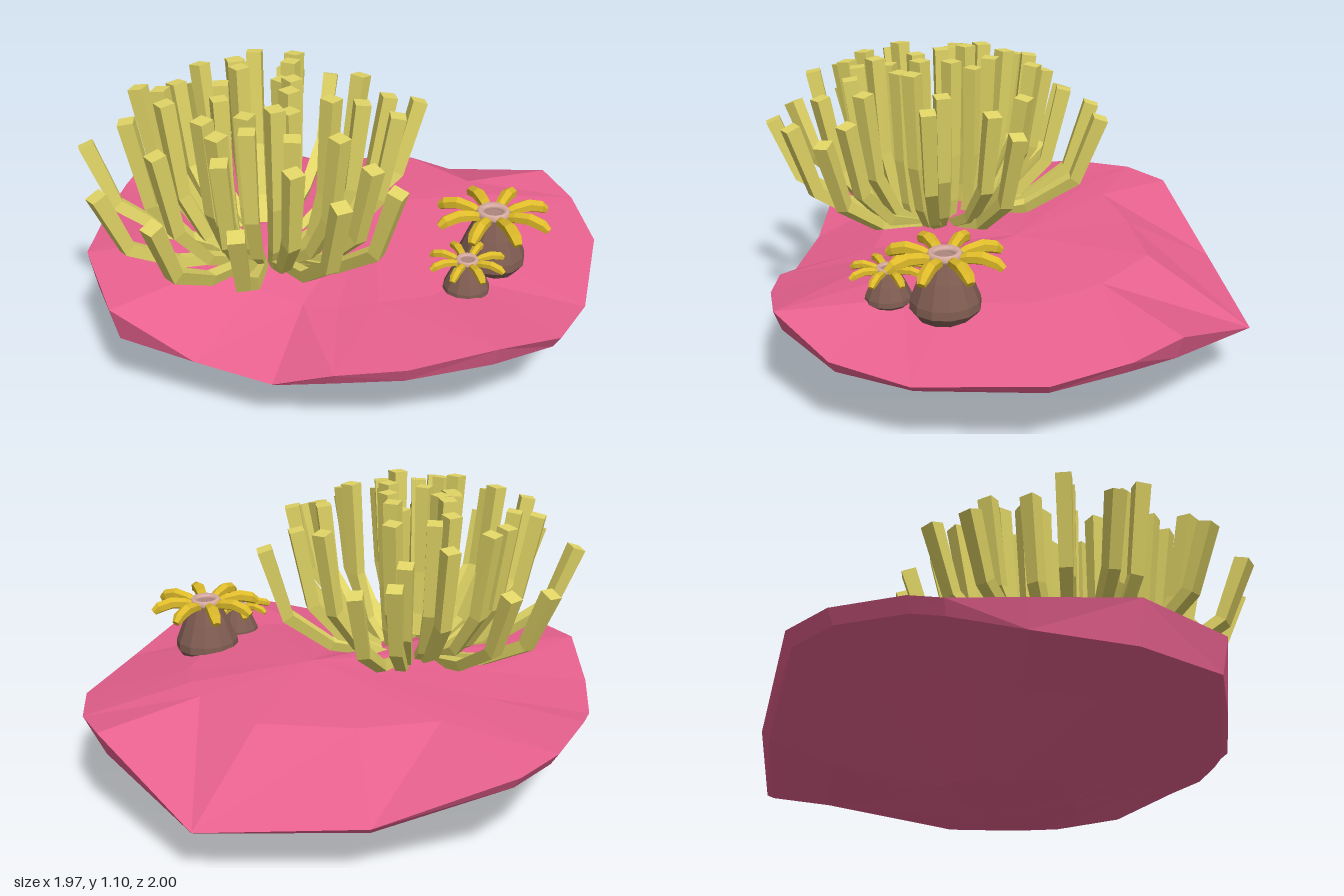
import * as THREE from 'three';

const V = (x, y, z) => new THREE.Vector3(x, y, z);
const mat = (name, color) => Object.assign(new THREE.MeshStandardMaterial({ color }), { name });

// Faceted skin over a stack of rings (counter-clockwise about the stacking direction), closed by fans
function loft(rings, start, end) {
  const pos = [];
  const tri = (...pts) => pts.forEach((p) => pos.push(p.x, p.y, p.z));
  const n = rings[0].length;
  const last = rings.length - 1;
  for (let j = 0; j < n; j++) {
    const k = (j + 1) % n;
    tri(start, rings[0][k], rings[0][j]);
    tri(end, rings[last][j], rings[last][k]);
    for (let i = 0; i < last; i++) {
      const [a, b, c, d] = [rings[i][j], rings[i][k], rings[i + 1][k], rings[i + 1][j]];
      if ((i + j) % 2) { tri(a, b, c); tri(a, c, d); } else { tri(a, b, d); tri(b, c, d); }
    }
  }
  const g = new THREE.BufferGeometry();
  g.setAttribute('position', new THREE.Float32BufferAttribute(pos, 3));
  g.computeVertexNormals();
  return g;
}

// Arm in the vertical plane at the given heading; path holds [outward, height, radius]
function arm(path, heading, sides, twist = 0) {
  const out = V(Math.cos(heading), 0, Math.sin(heading));
  const side = V(-out.z, 0, out.x);
  const pts = path.map(([r, y]) => out.clone().multiplyScalar(r).setY(y));
  const rings = pts.map((p, i) => {
    const t = pts[Math.min(i + 1, pts.length - 1)].clone().sub(pts[Math.max(i - 1, 0)]).normalize();
    const nrm = t.cross(side);
    return Array.from({ length: sides }, (_, j) => {
      const a = ((j + 0.5) / sides) * Math.PI * 2 + twist;
      return p.clone()
        .addScaledVector(side, Math.cos(a) * path[i][2])
        .addScaledVector(nrm, Math.sin(a) * path[i][2]);
    });
  });
  return loft(rings, pts[0], pts[pts.length - 1]);
}

function add(parent, name, geometry, material) {
  const m = new THREE.Mesh(geometry, material);
  m.name = name;
  parent.add(m);
  return m;
}

// Rim of the rock: x, z, rim height, height of the inner top ring, height of the lower edge
const RIM = [
  [0.04, -1.0, 0.21, 0.44, 0.195], [0.54, -0.84, 0.39, 0.44, 0.3], [0.71, -0.71, 0.36, 0.44, 0.31],
  [0.88, -0.48, 0.32, 0.42, 0.28], [0.98, -0.04, 0.29, 0.41, 0.26], [0.98, 0.25, 0.33, 0.4, 0.28],
  [0.85, 0.52, 0.41, 0.4, 0.33], [0.59, 0.68, 0.34, 0.38, 0.28], [0.36, 0.77, 0.3, 0.35, 0.25],
  [0.15, 0.82, 0.225, 0.34, 0.205], [-0.14, 0.86, 0.25, 0.37, 0.23], [-0.45, 0.91, 0.4, 0.42, 0.27],
  [-0.72, 0.68, 0.44, 0.44, 0.28], [-0.88, 0.35, 0.41, 0.43, 0.31], [-0.97, 0.1, 0.4, 0.43, 0.35],
  [-0.985, -0.02, 0.42, 0.43, 0.37], [-0.98, -0.29, 0.42, 0.44, 0.37], [-0.91, -0.47, 0.4, 0.44, 0.35],
  [-0.5, -0.75, 0.24, 0.43, 0.21],
].reverse();

function rockGeometry() {
  const ring = (s, height) => RIM.map((p) => V(p[0] * s, height(p), p[1] * s));
  return loft([
    ring(0.32, (p) => 0.05 + 0.01 * Math.sin(p[0] * 9)),
    ring(0.72, (p) => p[4] * 0.7),
    ring(0.97, (p) => p[4]),
    ring(1, (p) => p[2]),
    ring(0.6, (p) => p[3]),
  ], V(-0.03, 0, -0.06), V(0.08, 0.475, -0.1));
}

// Branch tips of the coral (x, z), seen from above
const TIPS = [
  [-0.35, -0.27], [-0.23, -0.34], [-0.34, -0.16], [-0.24, -0.06], [-0.7, -0.05], [-0.46, -0.04],
  [-0.38, 0], [-0.79, 0.12], [-0.56, 0.11], [-0.4, 0.11], [-0.56, 0.27], [-0.63, 0.41],
  [-0.73, 0.61], [-0.54, 0.4], [-0.5, 0.66], [-0.48, 0.88], [-0.4, 0.57], [-0.29, 0.79],
  [-0.19, 0.97], [-0.04, 0.79], [0.09, 0.91], [-0.12, 0.68], [-0.2, 0.64], [0.16, 0.66],
  [0.35, 0.69], [0.1, 0.56], [0.22, 0.45], [0.46, 0.5], [0.35, 0.46], [0.11, 0.3],
  [0.3, 0.16], [0.16, 0.16], [0.24, -0.16], [0.17, -0.04], [0.02, -0.11], [-0.17, 0.09],
  [-0.17, 0.16], [-0.3, 0.24], [-0.31, 0.35], [-0.26, 0.44], [-0.35, 0.19], [0, 0.4],
  [-0.09, 0.22], [-0.04, 0.33], [-0.12, 0.5], [0, 0.5], [-0.05, 0.6],
];

function coral(material) {
  const g = new THREE.Group();
  g.name = 'branchingCoral';
  g.position.set(-0.16, 0, 0.31);
  TIPS.forEach(([x, z], i) => {
    const dx = x + 0.16, dz = z - 0.31;
    const r = Math.hypot(dx, dz);
    const r0 = Math.min(0.13, r * 0.75);
    const y0 = 0.425;
    const h = 1.08 - 0.8 * r ** 3 + 0.03 * Math.sin(i * 2.4) - y0;
    const path = [[0, 0, 0.024], [0.45, 0.14, 0.029], [0.82, 0.43, 0.034], [1, 1, 0.04]]
      .map(([f, v, w]) => [r0 + (r - r0) * f, y0 + h * v, w]);
    add(g, 'coralBranch', arm(path, Math.atan2(dz, dx), 4, 0.3 * Math.sin(i * 1.7)), material);
  });
  return g;
}

// Stubby body with a mouth disc and eight drooping tentacles
function anemone(name, R, H, reach, mats) {
  const g = new THREE.Group();
  g.name = name;
  const circle = (r, y) => Array.from({ length: 12 }, (_, j) => {
    const a = (-j / 12) * Math.PI * 2;
    return V(r * Math.cos(a), y, r * Math.sin(a));
  });
  const profile = [[0.8, 0], [1, 0.16], [0.98, 0.3], [0.72, 0.68], [0.46, 1]];
  add(g, 'body', loft(profile.map(([r, y]) => circle(r * R, y * H)), V(0, 0, 0), V(0, H, 0)), mats.body);
  const lip = add(g, 'mouthRim', new THREE.TorusGeometry(R * 0.39, R * 0.13, 5, 12), mats.disc);
  lip.rotation.x = -Math.PI / 2;
  lip.position.y = H + R * 0.08;
  const mouth = add(g, 'mouth', new THREE.CylinderGeometry(R * 0.34, R * 0.34, 0.008, 12), mats.mouth);
  mouth.position.y = H + 0.003;
  const path = [[0.22, -0.01, 0.075], [0.4, 0.05, 0.1], [0.65, 0.08, 0.115], [0.88, 0.02, 0.11], [0.99, -0.06, 0.07]]
    .map(([r, y, w]) => [r * reach, H + y * reach, w * reach]);
  for (let i = 0; i < 8; i++) add(g, 'tentacle', arm(path, (i * Math.PI) / 4, 6), mats.tentacle);
  return g;
}

export function createModel() {
  const model = new THREE.Group();
  model.name = 'coralReef';
  const mats = {
    body: mat('brown', 0x7f5c51),
    disc: mat('pale pink', 0xdcb0a5),
    mouth: mat('dusty mauve', 0xaf877f),
    tentacle: mat('golden yellow', 0xdebb2a),
  };
  add(model, 'rock', rockGeometry(), mat('rose pink', 0xec6391));
  model.add(coral(mat('olive yellow', 0xe0d465)));

  const large = anemone('largeAnemone', 0.127, 0.215, 0.215, mats);
  large.position.set(0.61, 0.375, 0.0 - 0.02);
  const small = anemone('smallAnemone', 0.085, 0.13, 0.14, mats);
  small.position.set(0.6, 0.375, 0.2);
  model.add(large, small);
  return model;
}
